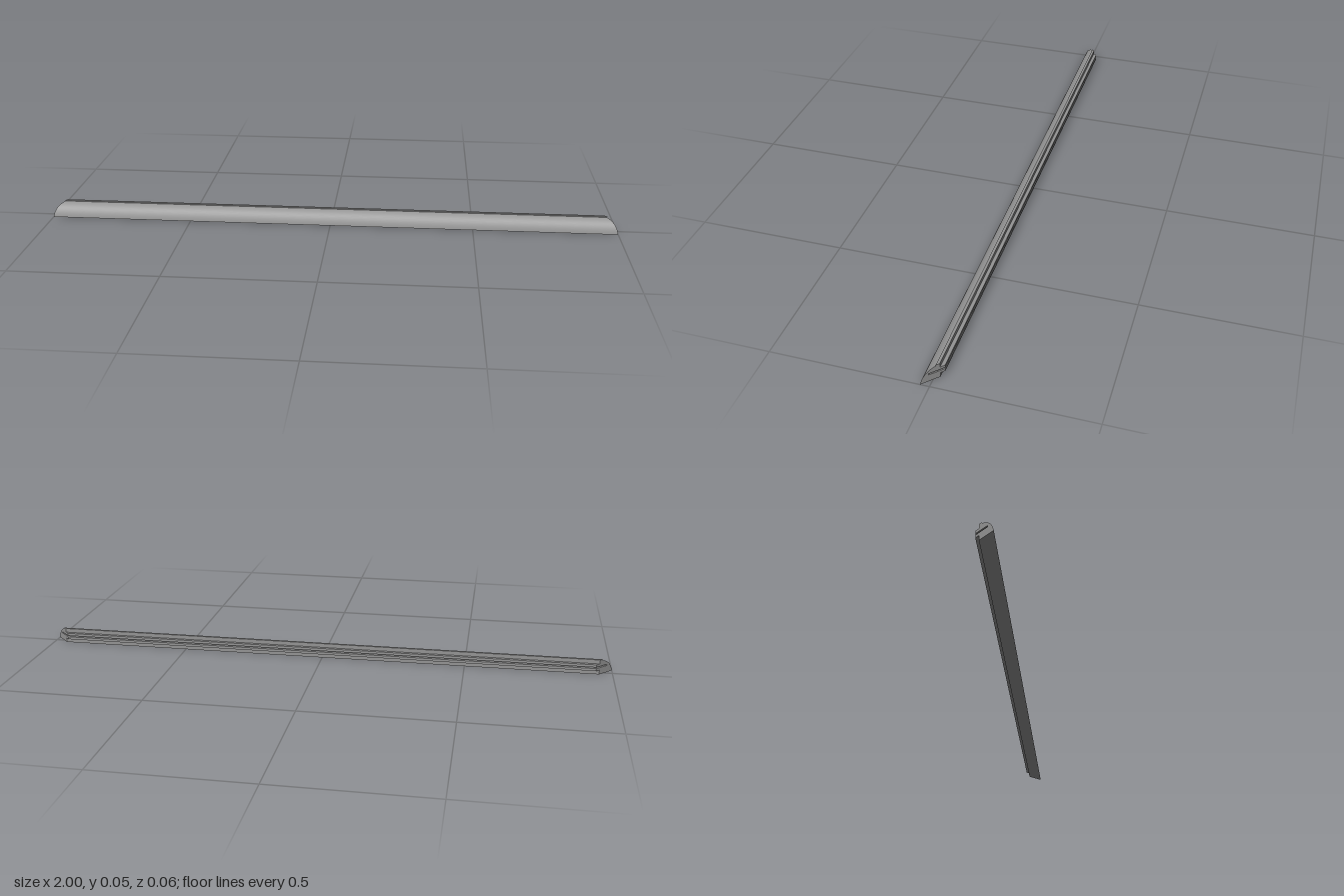
import * as THREE from 'three';
import { toCreasedNormals } from 'three/addons/utils/BufferGeometryUtils.js';

// Profile in hundredths of a unit: first value runs backward, second up
const FRONT = 2.85;
const HALF = 100;

function trimProfile() {
  const s = new THREE.Shape();
  s.moveTo(-FRONT, 0);
  s.quadraticCurveTo(-2.2, 3.8, 0.8, 4.85); // rounded face
  const back = [
    [0.8, 5.2], [1.7, 5.2],                // raised top bead
    [1.7, 3.8], [2.85, 3.8], [2.85, 2.9],  // upper lip
    [-0.9, 2.9], [-0.9, 2.45],             // slot
    [2.85, 2.45], [2.85, 1.55], [1.7, 1.55], [1.7, 0], // lower lip
  ];
  back.forEach(([u, v]) => s.lineTo(u, v));
  s.closePath();
  return s;
}

export function createModel() {
  const group = new THREE.Group();
  group.name = 'mouldingStrip';

  let geo = new THREE.ExtrudeGeometry(trimProfile(), {
    depth: HALF * 2, bevelEnabled: false, curveSegments: 12,
  });
  geo.translate(0, 0, -HALF);
  geo.rotateY(Math.PI / 2);

  // Mitre both ends at 45 degrees, longest along the front
  const p = geo.attributes.position;
  for (let i = 0; i < p.count; i++) {
    p.setX(i, Math.sign(p.getX(i)) * (HALF - (FRONT - p.getZ(i))));
  }
  geo = toCreasedNormals(geo, 0.3);
  geo.scale(0.01, 0.01, 0.01);

  const strip = new THREE.Mesh(geo, new THREE.MeshStandardMaterial({ color: 0x949494 }));
  strip.name = 'slottedTrim';
  group.add(strip);
  return group;
}
